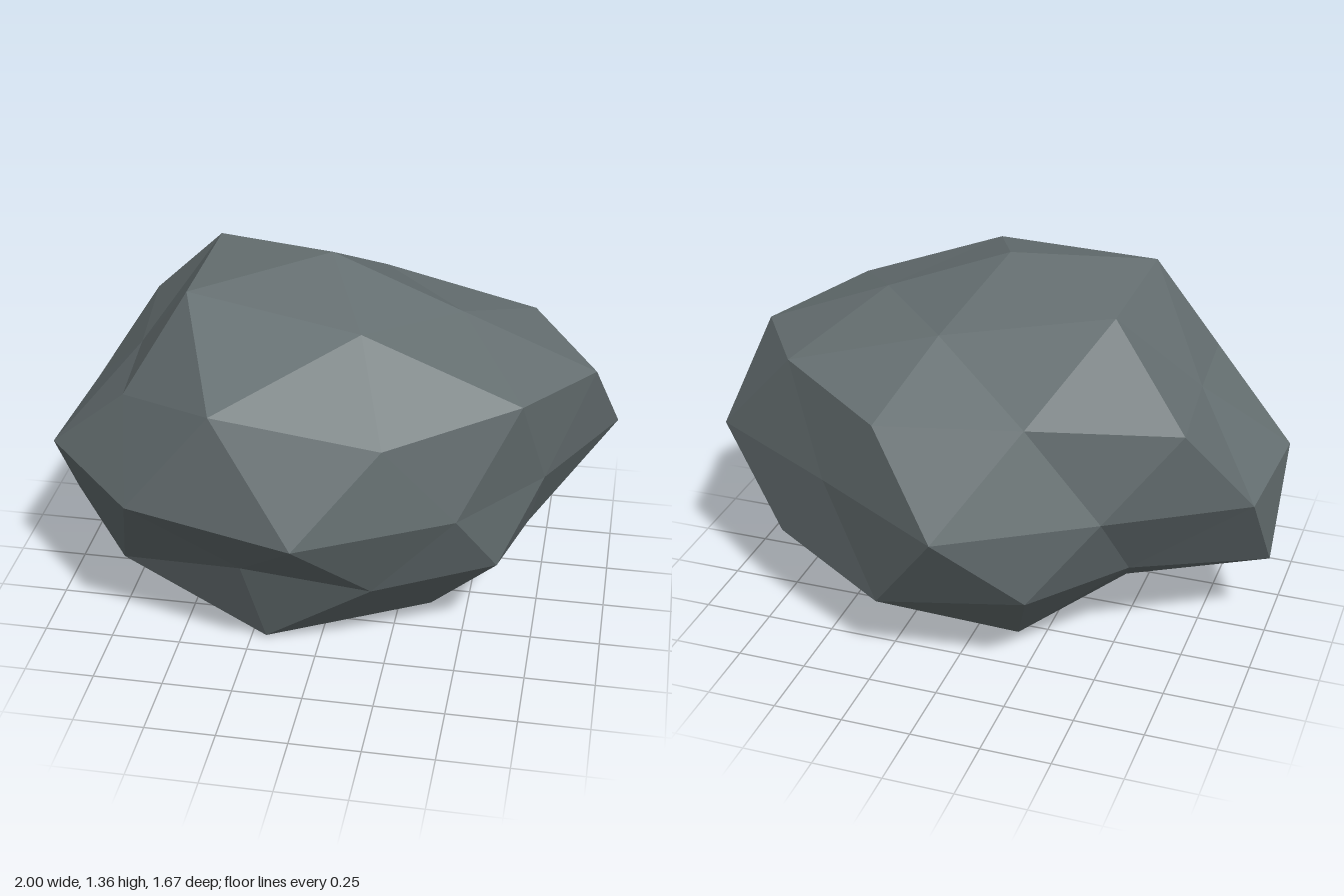
import * as THREE from 'three';

const CENTER = new THREE.Vector3(-0.02, 0.65, 0);
const STRETCH = new THREE.Vector3(1.29, 0.9, 1);

// Radii of each ring of a once-subdivided icosphere standing on its pole.
const EQUATOR = [0.83, 0.68, 0.64, 0.83, 0.67, 0.84, 0.657, 0.78, 0.8, 0.805];
const UPPER = {
  sign: 1, start: 0, pole: 0.79,
  cap: [0.78, 0.68, 0.68, 0.83, 0.84],
  corner: [0.77, 0.81, 0.76, 0.8, 0.72],
  mid: [0.8, 0.775, 0.7, 0.64, 0.865],
};
const LOWER = {
  sign: -1, start: 1, pole: 0.722,
  cap: [0.73, 0.8, 0.77, 0.67, 0.835],
  corner: [0.69, 0.79, 0.745, 0.85, 0.655],
  mid: [0.66, 0.81, 0.61, 0.785, 0.67],
};

// Point at an azimuth (degrees from +z towards +x), elevation and radius
function point(azimuth, elevation, radius) {
  const a = THREE.MathUtils.degToRad(azimuth);
  const e = THREE.MathUtils.degToRad(elevation);
  return new THREE.Vector3(Math.cos(e) * Math.sin(a), Math.sin(e), Math.cos(e) * Math.cos(a))
    .multiplyScalar(radius).multiply(STRETCH).add(CENTER);
}

// Forty facets between one pole and the equator
function addHalf(positions, equator, { sign, start, pole, cap, corner, mid }) {
  const first = 18 + 36 * start;
  const ring = (radii, offset, elevation) =>
    radii.map((r, i) => point(first + offset + 72 * i, sign * elevation, r));
  const P = point(0, sign * 90, pole);
  const A = ring(cap, 0, 58.28);
  const U = ring(corner, 0, 26.57);
  const M = ring(mid, 36, 31.72);
  const face = (a, b, c) => {
    for (const p of sign > 0 ? [a, b, c] : [a, c, b]) positions.push(p.x, p.y, p.z);
  };
  for (let i = 0; i < 5; i++) {
    const j = (i + 1) % 5;
    const [e0, e1, e2] = [0, 1, 2].map((k) => equator[(2 * i + start + k) % 10]);
    face(P, A[i], A[j]);
    face(A[i], U[i], M[i]);
    face(A[i], M[i], A[j]);
    face(A[j], M[i], U[j]);
    face(U[i], e0, e1);
    face(U[i], e1, M[i]);
    face(M[i], e1, e2);
    face(M[i], e2, U[j]);
  }
}

export function createModel() {
  const stone = new THREE.MeshStandardMaterial({ color: 0x667072 });
  stone.name = 'stone grey';

  const equator = EQUATOR.map((r, k) => point(36 * k, 0, r));
  const positions = [];
  addHalf(positions, equator, UPPER);
  addHalf(positions, equator, LOWER);

  // Unshared corners give faceted normals
  const geometry = new THREE.BufferGeometry();
  geometry.setAttribute('position', new THREE.Float32BufferAttribute(positions, 3));
  geometry.computeVertexNormals();

  const rock = new THREE.Mesh(geometry, stone);
  rock.name = 'rock';
  const group = new THREE.Group();
  group.name = 'boulder';
  group.add(rock);
  return group;
}
